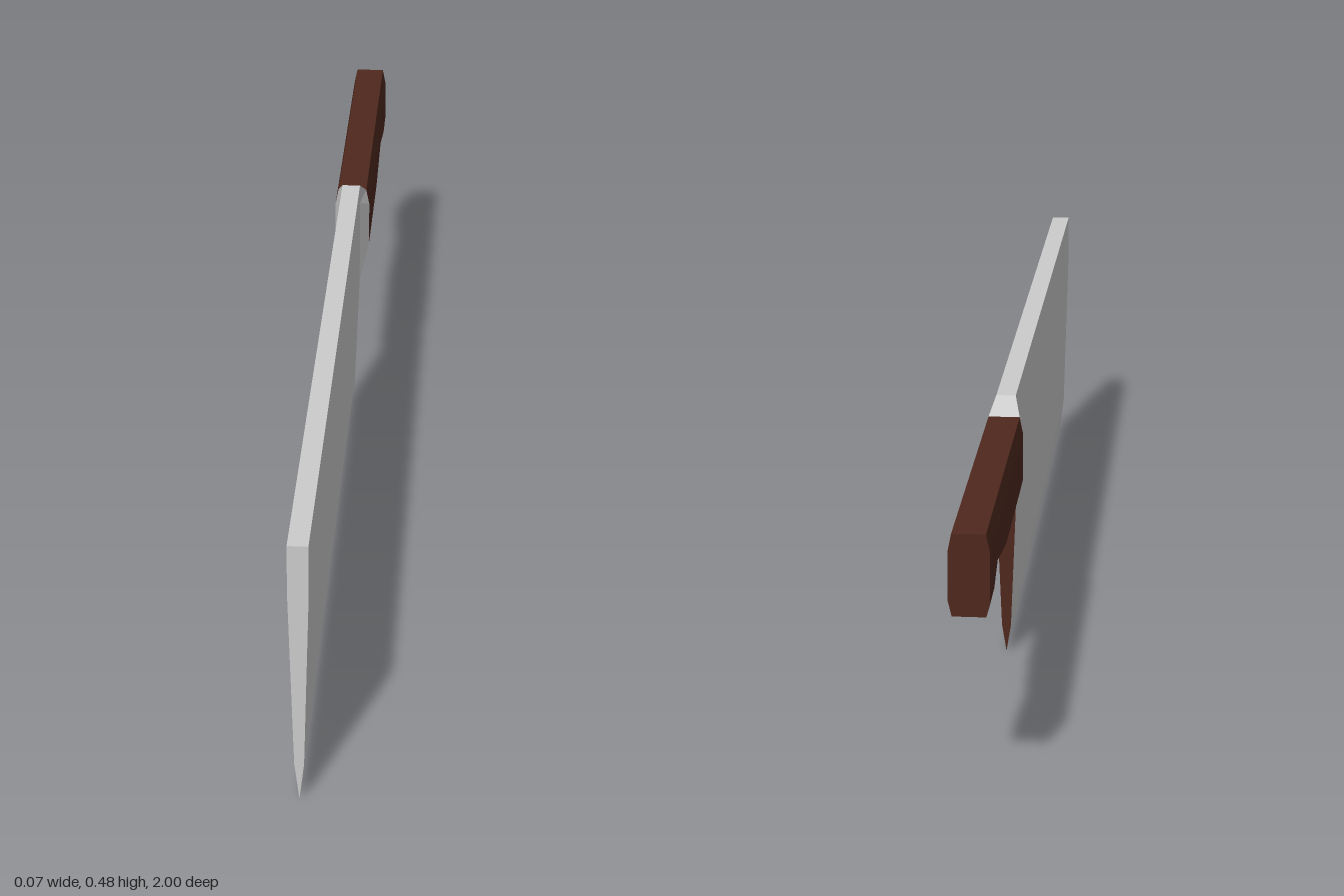
import * as THREE from 'three';

const STEEL = 0xcccccc, WOOD = 0x4f281e;

// Mirrors right-hand points (bottom to top) into a closed ring, counter-clockwise seen from +z
function ring(z, half) {
  const left = half.filter(([x]) => x > 0).reverse().map(([x, y]) => [-x, y]);
  return [...half, ...left].map(([x, y]) => [x, y, z]);
}

// Skins rings ordered front to back, with optional end caps
function loft(name, rings, color, front = true, back = true, sides = true) {
  const pos = [];
  const tri = (a, b, c) => pos.push(...a, ...b, ...c);
  const n = rings[0].length, last = rings[rings.length - 1];
  for (let s = 0; sides && s < rings.length - 1; s++) {
    for (let i = 0; i < n; i++) {
      const j = (i + 1) % n, a = rings[s], b = rings[s + 1];
      tri(a[i], b[i], b[j]);
      tri(a[i], b[j], a[j]);
    }
  }
  for (let i = 1; i < n - 1; i++) {
    if (front) tri(rings[0][0], rings[0][i], rings[0][i + 1]);
    if (back) tri(last[0], last[i + 1], last[i]);
  }
  const geo = new THREE.BufferGeometry();
  geo.setAttribute('position', new THREE.Float32BufferAttribute(pos, 3));
  geo.computeVertexNormals();
  const mesh = new THREE.Mesh(geo, new THREE.MeshStandardMaterial({ color, flatShading: true }));
  mesh.name = name;
  return mesh;
}

// Chamfered grip section
const grip = (z, bottom) => ring(z, [[0.027, bottom], [0.033, bottom + 0.025], [0.033, 0.42], [0.027, 0.45]]);

export function createModel() {
  const model = new THREE.Group();
  model.name = 'cleaver';
  const heelZ = -0.345, gripZ = -0.385;

  // Wedge blade with a ground cutting edge
  const tip = ring(1, [[0, 0], [0.008, 0.068], [0.017, 0.39], [0.017, 0.477]]);
  const heel = ring(heelZ, [[0, 0], [0.008, 0.05], [0.017, 0.275], [0.017, 0.477]]);
  model.add(loft('blade', [tip, heel], STEEL, true, false));

  // Dark face closing the heel below the bolster
  const heelFace = ring(heelZ, [[0, 0], [0.008, 0.05], [0.017, 0.275]]);
  model.add(loft('heelFace', [heelFace], WOOD, false, true, false));

  // Bolster flaring from the blade to the grip
  const collar = ring(heelZ, [[0.017, 0.275], [0.017, 0.31], [0.017, 0.44], [0.017, 0.477]]);
  model.add(loft('bolster', [collar, grip(gripZ, 0.312)], STEEL, true, false));

  // Handle with a finger hollow and pommel hook on the underside
  const underside = [[gripZ, 0.312], [-0.65, 0.312], [-0.85, 0.346], [-0.93, 0.312], [-1, 0.314]];
  model.add(loft('handle', underside.map(([z, y]) => grip(z, y)), WOOD));

  return model;
}
